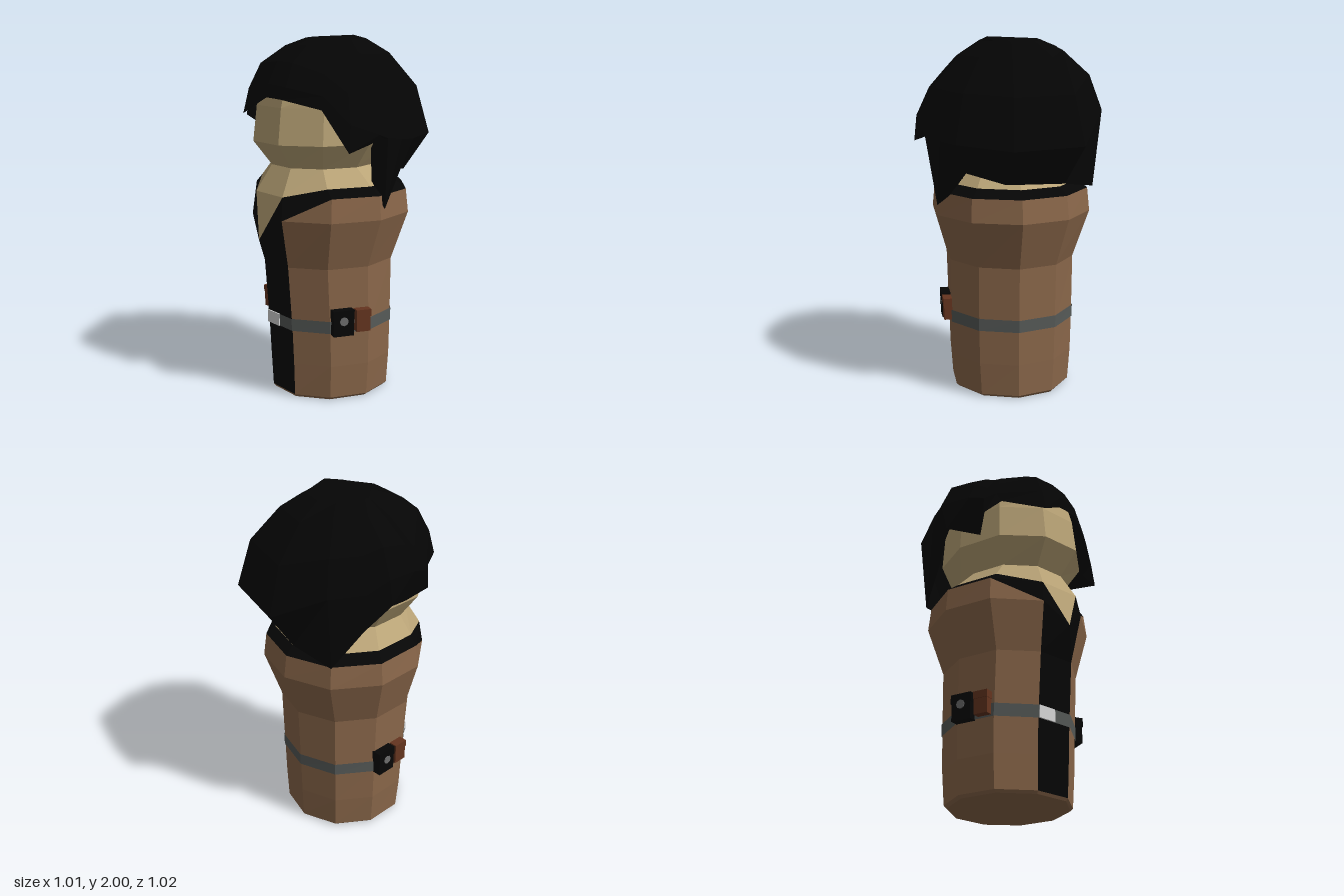
import * as THREE from 'three';

const mat = (name, color) => {
  const m = new THREE.MeshStandardMaterial({ color, flatShading: true, side: THREE.DoubleSide });
  m.name = name;
  return m;
};

// Point on a ten-sided ring with a flat front; index 0 and 9 bound the front face
const CX = -0.007;
function ring(y, rx, front, back) {
  const cz = (front + back) / 2, rz = (front - back) / 2 / Math.cos(Math.PI / 10);
  return Array.from({ length: 10 }, (_, i) => {
    const a = (18 + 36 * i) * Math.PI / 180;
    return [(i % 9 ? CX : 0.002) + rx * Math.sin(a), y, cz + rz * Math.cos(a)];
  });
}

// Mesh from convex polygons listed counter-clockwise
function polyMesh(name, polys, material) {
  const pos = [];
  for (const p of polys)
    for (let i = 1; i < p.length - 1; i++) pos.push(...p[0], ...p[i], ...p[i + 1]);
  const g = new THREE.BufferGeometry();
  g.setAttribute('position', new THREE.Float32BufferAttribute(pos, 3));
  g.computeVertexNormals();
  const m = new THREE.Mesh(g, material);
  m.name = name;
  return m;
}

// Quads joining two rings (lower, upper) over columns from..to
function band(lo, hi, from = 0, to = lo.length - 1) {
  const out = [], n = lo.length;
  for (let i = from; i <= to; i++) {
    const j = (i + 1) % n;
    out.push([lo[i], lo[j], hi[j], hi[i]]);
  }
  return out;
}

export function createModel() {
  const coat = mat('coat brown', 0x8a674a), skin = mat('skin', 0xbaa477);
  const shirt = mat('shirt black', 0x060606), hairMat = mat('hair black', 0x050505);
  const beltMat = mat('belt grey', 0x565a58), silver = mat('buckle silver', 0xd6d6d6);
  const leather = mat('pouch leather', 0x64341f), grey = mat('emblem grey', 0x6c6c6c);
  const model = new THREE.Group();

  // Body rings from the ground up to the shoulders
  const R = [
    ring(0, 0.325, 0.345, -0.29), ring(0.015, 0.342, 0.355, -0.302),
    ring(0.2, 0.357, 0.363, -0.31), ring(0.4, 0.362, 0.373, -0.315),
    ring(0.76, 0.365, 0.4, -0.325), ring(1.03, 0.452, 0.458, -0.415),
    ring(1.16, 0.44, 0.44, -0.398),
  ];
  const tip = [0, 0.91, 0.51];
  const neckline = ring(1.205, 0.38, 0.42, -0.35);
  neckline[0] = [0.125, 1.155, 0.44];
  neckline[9] = [-0.125, 1.155, 0.44];

  // Coat, open at the front
  const coatFaces = [[...R[0]].reverse(), ...band(R[0], R[1])];
  for (let k = 1; k < 5; k++) coatFaces.push(...band(R[k], R[k + 1], 0, 8));
  coatFaces.push(...band(R[5], R[6], 1, 7), [R[5][0], R[5][1], R[6][1]], [R[5][8], R[5][9], R[6][8]]);
  model.add(polyMesh('coat', coatFaces, coat));

  // Shirt front and collar
  const shirtFaces = [];
  for (let k = 1; k < 4; k++) shirtFaces.push(...band(R[k], R[k + 1], 9, 9));
  shirtFaces.push([R[4][9], R[4][0], tip], [R[4][0], R[5][0], tip], [R[4][9], tip, R[5][9]]);
  model.add(polyMesh('shirtFront', shirtFaces, shirt));
  model.add(polyMesh('collar', [
    ...band(R[6], neckline, 1, 7),
    [R[5][0], R[6][1], neckline[1], neckline[0]], [R[6][8], R[5][9], neckline[9], neckline[8]],
    [tip, R[5][0], neckline[0]], [R[5][9], tip, neckline[9]],
  ], shirt));

  // Neck, head and V of skin
  const H = [neckline, ring(1.3, 0.29, 0.36, -0.24), ring(1.435, 0.385, 0.46, -0.36),
    ring(1.63, 0.37, 0.437, -0.35), ring(1.71, 0.36, 0.415, -0.3)];
  const skinFaces = [[neckline[9], tip, neckline[0]], H[4]];
  for (let k = 0; k < 4; k++) skinFaces.push(...band(H[k], H[k + 1]));
  model.add(polyMesh('head', skinFaces, skin));

  // Hair: [hem point, widest point, flatness] per column, starting at the fringe tip and turning to +x
  const columns = [
    [[-0.15, 1.585, 0.5], [-0.145, 1.72, 0.465]],
    [[0.01, 1.68, 0.455], [0.02, 1.75, 0.45]],
    [[0.13, 1.675, 0.445], [0.15, 1.74, 0.43]],
    [[0.335, 1.63, 0.335], [0.33, 1.7, 0.32], 1.4],
    [[0.475, 1.415, 0.265], [0.465, 1.56, 0.25], 1.4],
    [[0.475, 1.475, 0.035], [0.495, 1.5, 0.08]],
    [[0.45, 1.09, 0], [0.505, 1.48, 0.03]],
    [[0.41, 1.15, -0.07], [0.47, 1.46, -0.1]],
    [[0.36, 1.29, -0.19], [0.43, 1.45, -0.21]],
    [[0.2, 1.24, -0.35], [0.235, 1.44, -0.51]],
    [[-0.15, 1.22, -0.36], [-0.19, 1.44, -0.505]],
    [[-0.39, 1.17, -0.25], [-0.42, 1.6, -0.285]],
    [[-0.43, 1.37, -0.08], [-0.48, 1.61, -0.09]],
    [[-0.49, 1.52, 0.05], [-0.51, 1.68, 0.02]],
    [[-0.37, 1.46, 0.2], [-0.455, 1.67, 0.2], 1.3],
    [[-0.425, 1.54, 0.3], [-0.42, 1.64, 0.285], 1.6],
    [[-0.34, 1.625, 0.345], [-0.36, 1.68, 0.325], 1.5],
  ];
  const hem = columns.map(c => c[0]), wide = columns.map(c => c[1]);
  const dome = [[0.86, 0.49], [0.57, 0.83], [0.33, 0.975]].map(([s, k]) =>
    columns.map(([, [x, y, z], p = 1]) => [x * s, y + (1.99 - y) * k ** p, z * s]));
  const layers = [hem, wide, ...dome];
  const hairFaces = [];
  for (let k = 0; k < 4; k++) hairFaces.push(...band(layers[k], layers[k + 1]));
  const crown = [0.15, 2, -0.02];
  hairFaces.push(...dome[2].map((p, i) => [p, dome[2][(i + 1) % dome[2].length], crown]));
  // Underside of the long side lock, turning in towards the head
  const inner = hem.map(([x, y, z]) => [x * 0.75, y + 0.1, z * 0.75]);
  hairFaces.push(...band(inner, hem, 4, 6));
  model.add(polyMesh('hair', hairFaces, hairMat));

  // Belt and buckle
  model.add(polyMesh('belt', band(ring(0.395, 0.366, 0.377, -0.319), ring(0.465, 0.367, 0.382, -0.321)), beltMat));
  const box = (name, w, h, d, x, y, z, m, parent) => {
    const b = new THREE.Mesh(new THREE.BoxGeometry(w, h, d), m);
    b.name = name;
    b.position.set(x, y, z);
    parent.add(b);
  };
  box('buckle', 0.11, 0.07, 0.009, -0.055, 0.43, 0.381, silver, model);

  // Pair of pouches on each hip
  for (const [name, side] of [['leftPouches', 1], ['rightPouches', -1]]) {
    const g = new THREE.Group();
    g.name = name;
    g.position.set(CX, 0, 0.025);
    g.rotation.y = side * 72 * Math.PI / 180;
    box('blackPouch', 0.115, 0.13, 0.07, -0.055, 0.455, 0.36, shirt, g);
    box('blackPouchFlap', 0.122, 0.05, 0.078, -0.055, 0.51, 0.36, shirt, g);
    box('leatherPouch', 0.08, 0.11, 0.055, 0.062, 0.46, 0.365, leather, g);
    box('leatherPouchFlap', 0.085, 0.04, 0.064, 0.062, 0.51, 0.365, leather, g);
    const e = new THREE.Mesh(new THREE.CylinderGeometry(0.025, 0.025, 0.006, 8), grey);
    e.name = 'emblem';
    e.rotation.x = Math.PI / 2;
    e.position.set(-0.055, 0.475, 0.4);
    g.add(e);
    model.add(g);
  }
  return model;
}
